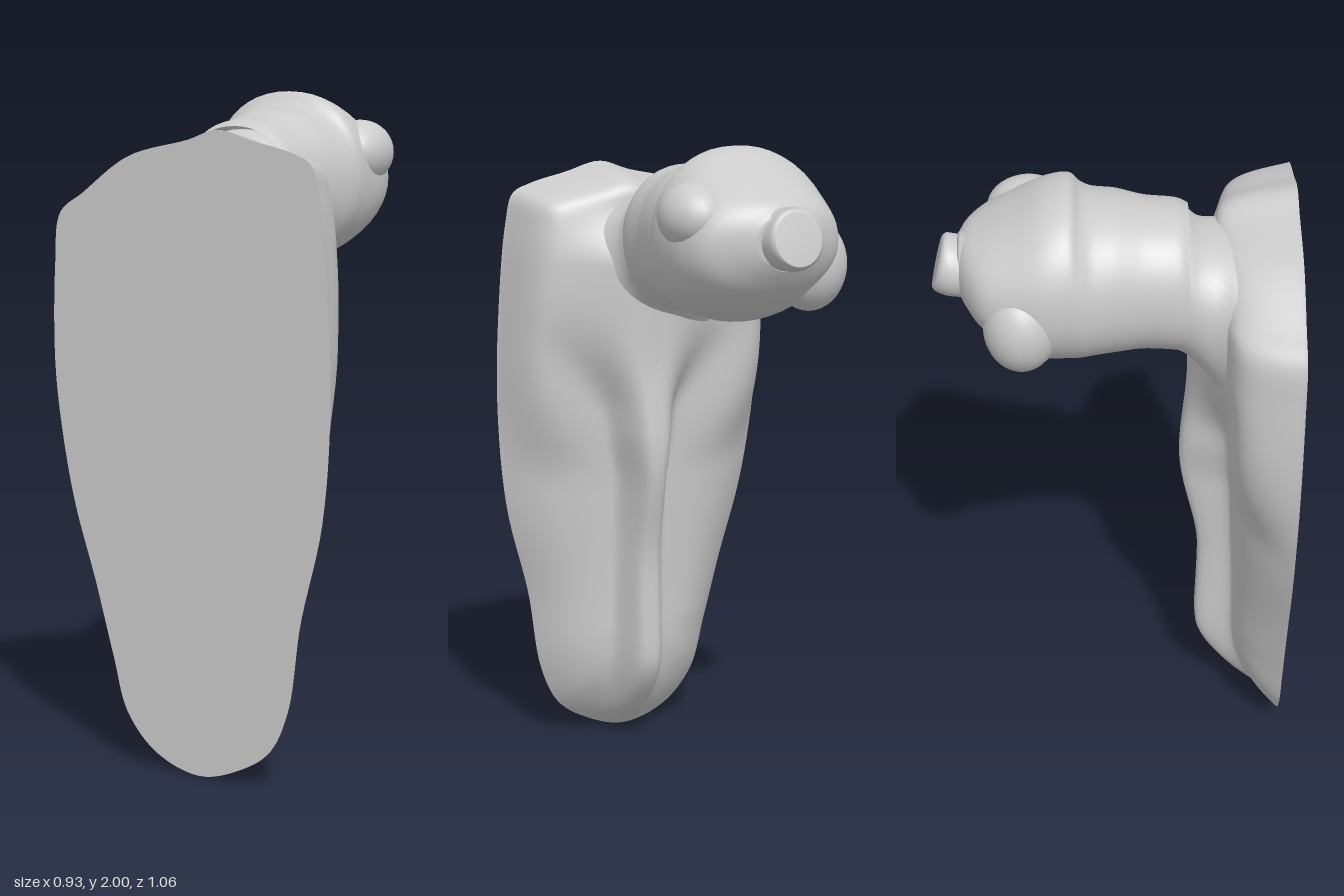
import * as THREE from 'three';

const material = new THREE.MeshStandardMaterial({ color: 0xcccccc, side: THREE.DoubleSide });

// Piecewise smooth lookup in [key, value] pairs
function lookup(table, k) {
  if (k <= table[0][0]) return table[0][1];
  for (let i = 1; i < table.length; i++) {
    const [k0, v0] = table[i - 1], [k1, v1] = table[i];
    if (k <= k1) return v0 + (v1 - v0) * THREE.MathUtils.smoothstep(k, k0, k1);
  }
  return table[table.length - 1][1];
}

// Skin over equal-length closed rings, smooth shaded
function skin(rings) {
  const n = rings[0].length, index = [];
  for (let r = 0; r < rings.length - 1; r++) {
    for (let j = 0; j < n; j++) {
      const a = r * n + j, b = r * n + (j + 1) % n;
      index.push(a, a + n, b, b, a + n, b + n);
    }
  }
  const g = new THREE.BufferGeometry().setFromPoints(rings.flat());
  g.setIndex(index);
  g.computeVertexNormals();
  return g;
}

// Sections [z, xMin, xMax, yMin, yMax] lofted along z through a smooth curve
function loft(sections, steps, power = 1, tilt = 0) {
  const lo = new THREE.CatmullRomCurve3(sections.map(s => new THREE.Vector3(s[1], s[3], s[0])));
  const hi = new THREE.CatmullRomCurve3(sections.map(s => new THREE.Vector3(s[2], s[4], s[0])));
  const rings = [];
  for (let i = 0; i <= steps; i++) {
    const a = lo.getPoint(i / steps), b = hi.getPoint(i / steps), ring = [];
    for (let j = 0; j < 48; j++) {
      const t = j / 48 * Math.PI * 2, c = Math.cos(t), s = Math.sin(t);
      const px = Math.sign(c) * Math.abs(c) ** power, py = Math.sign(s) * Math.abs(s) ** power;
      ring.push(new THREE.Vector3((a.x + b.x) / 2 + (b.x - a.x) / 2 * px,
        (a.y + b.y) / 2 + (b.y - a.y) / 2 * py, a.z + tilt * py));
    }
    rings.push(ring);
  }
  // Close the far end with a flat cap
  const last = rings[rings.length - 1];
  const mid = last.reduce((m, p) => m.add(p), new THREE.Vector3()).divideScalar(last.length);
  rings.push(last.map(() => mid.clone()));
  return skin(rings);
}

export function createModel() {
  const model = new THREE.Group();
  const add = (name, geometry) => {
    const mesh = new THREE.Mesh(geometry, material);
    mesh.name = name;
    model.add(mesh);
    return mesh;
  };
  const FRONT = 0.53, SPINE = 0.048;

  // Flat face outline
  const outline = new THREE.CatmullRomCurve3([
    [0.03, 0], [0.17, 0.04], [0.27, 0.11], [0.33, 0.24], [0.37, 0.5], [0.44, 0.8], [0.465, 1.15],
    [0.45, 1.5], [0.425, 1.72], [0.4, 1.81], [0.34, 1.84], [0.22, 1.87], [0.1, 1.9], [0, 1.87],
    [-0.2, 1.82], [-0.36, 1.71], [-0.44, 1.65], [-0.46, 1.5], [-0.465, 1.2], [-0.44, 0.98],
    [-0.4, 0.78], [-0.33, 0.55], [-0.27, 0.33], [-0.22, 0.16], [-0.12, 0.05],
  ].map(([x, y]) => new THREE.Vector3(x, y, 0)), true).getPoints(160).slice(0, 160);

  // Depth of the base behind the flat face: flanks and a thin fin widening into the hips
  const fin = [[0, 0.18], [0.1, 0.24], [0.3, 0.27], [0.6, 0.265], [1.0, 0.33], [1.3, 0.31], [1.6, 0.32], [1.8, 0.24]];
  const spread = [[0.2, 0.065], [0.9, 0.06], [1.1, 0.085], [1.5, 0.25]];
  function depth(x, y) {
    const flank = lookup([[0, 0.14], [0.4, 0.155], [1.3, 0.19]], y);
    const bump = Math.exp(-(Math.abs((x - SPINE) / lookup(spread, y)) ** lookup([[1.0, 4], [1.5, 2]], y)));
    return flank + (lookup(fin, y) - flank) * bump;
  }
  const baseRings = [];
  for (let k = 0; k <= 50; k++) {
    const t = (k / 50) ** 1.5;
    baseRings.push(outline.map(p => {
      const x = THREE.MathUtils.lerp(p.x, SPINE, t);
      const y = THREE.MathUtils.lerp(p.y, THREE.MathUtils.clamp(p.y, 0.4, 1.6), t);
      // Sloped sides low down, steep sides at the hips
      const edge = (1 - (1 - t) ** lookup([[0.9, 3], [1.4, 14]], y)) ** lookup([[0.9, 1], [1.4, 1.4]], y);
      return new THREE.Vector3(x, y, FRONT - depth(x, y) * edge);
    }));
  }
  add('base', skin(baseRings));
  const face = new THREE.ShapeGeometry(new THREE.Shape(outline.map(p => new THREE.Vector2(p.x, p.y))));
  add('flatFace', face.translate(0, 0, FRONT));

  // Waist flaring into the base
  add('waist', loft([
    [0.36, -0.33, 0.3, 1.26, 1.81], [0.3, -0.26, 0.24, 1.34, 1.825],
    [0.24, -0.23, 0.18, 1.42, 1.85], [0.2, -0.222, 0.165, 1.46, 1.885], [0.15, -0.22, 0.16, 1.48, 1.89],
  ], 16, 0.92));

  // Torso reaching backwards, chest side up with a step under the chest
  add('torso', loft([
    [0.21, -0.225, 0.165, 1.47, 1.9], [0.18, -0.235, 0.172, 1.475, 1.915], [0.08, -0.245, 0.18, 1.485, 1.925],
    [0, -0.265, 0.195, 1.48, 1.945], [-0.07, -0.285, 0.21, 1.476, 1.95], [-0.1, -0.298, 0.215, 1.475, 1.965],
    [-0.13, -0.305, 0.22, 1.475, 1.995], [-0.2, -0.312, 0.222, 1.48, 1.985], [-0.3, -0.295, 0.215, 1.52, 1.93],
    [-0.38, -0.26, 0.18, 1.58, 1.885], [-0.43, -0.19, 0.1, 1.64, 1.855], [-0.455, -0.13, 0.04, 1.68, 1.82],
  ], 60, 0.92));

  // Rounded arm stumps sunk into the shoulders
  const ball = new THREE.SphereGeometry(1, 28, 18);
  for (const [name, position, size] of [
    ['leftArm', [0.15, 1.81, -0.25], [0.1, 0.1, 0.125]],
    ['rightArm', [-0.225, 1.65, -0.27], [0.115, 0.14, 0.11]],
  ]) {
    const stump = add(name, ball);
    stump.position.set(...position);
    stump.scale.set(...size);
  }

  // Cut neck rising from a collar
  add('neckRoot', loft([[-0.38, -0.2, 0.09, 1.62, 1.88], [-0.42, -0.175, 0.05, 1.645, 1.86],
    [-0.45, -0.15, 0.03, 1.66, 1.845]], 8));
  add('neck', loft([[-0.42, -0.16, 0.035, 1.66, 1.845], [-0.47, -0.155, 0.03, 1.665, 1.84],
    [-0.5, -0.145, 0.025, 1.675, 1.845], [-0.512, -0.13, 0.015, 1.685, 1.835]], 10, 1, 0.018));
  return model;
}
